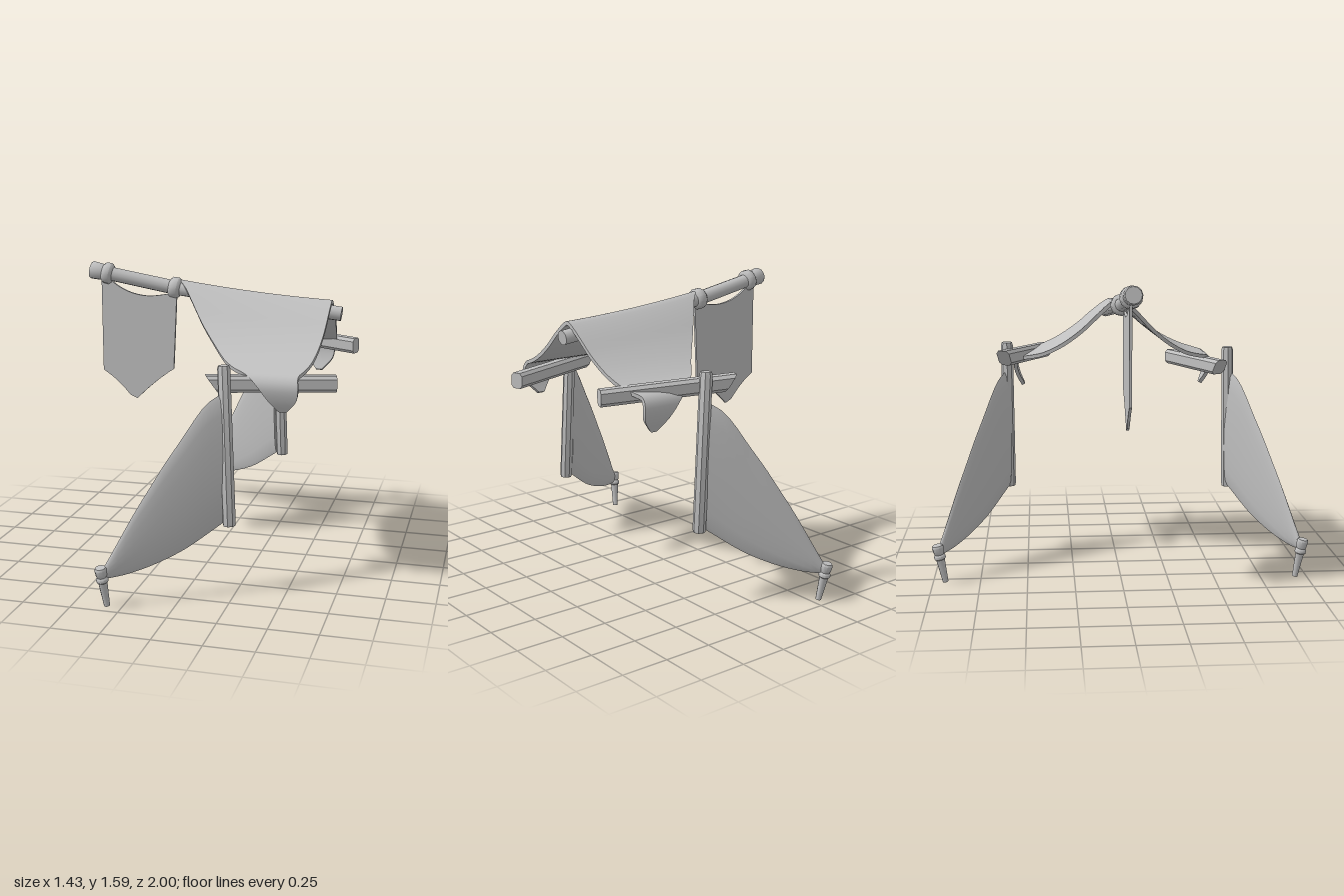
import * as THREE from 'three';
import { toCreasedNormals } from 'three/addons/utils/BufferGeometryUtils.js';

const V = (x, y, z) => new THREE.Vector3(x, y, z);
const lerp = THREE.MathUtils.lerp;

// Skin a list of closed rings of points, capping both ends
function loft(rings, crease = 0.9) {
  const n = rings[0].length, pos = [], idx = [];
  rings.forEach(r => r.forEach(p => pos.push(p.x, p.y, p.z)));
  for (let i = 0; i < rings.length - 1; i++) {
    for (let j = 0; j < n; j++) {
      const a = i * n + j, b = i * n + (j + 1) % n;
      idx.push(a, b, a + n, b, b + n, a + n);
    }
  }
  [0, rings.length - 1].forEach((row, end) => {
    const c = V(0, 0, 0);
    rings[row].forEach(p => c.addScaledVector(p, 1 / n));
    const k = pos.length / 3;
    pos.push(c.x, c.y, c.z);
    for (let j = 0; j < n; j++) {
      const a = row * n + j, b = row * n + (j + 1) % n;
      if (end) idx.push(a, b, k); else idx.push(b, a, k);
    }
  });
  // Turn the faces outward if the enclosed volume comes out negative
  const at = i => V(pos[3 * i], pos[3 * i + 1], pos[3 * i + 2]);
  let volume = 0;
  for (let i = 0; i < idx.length; i += 3) volume += at(idx[i]).dot(at(idx[i + 1]).cross(at(idx[i + 2])));
  if (volume < 0) idx.reverse();
  const g = new THREE.BufferGeometry();
  g.setAttribute('position', new THREE.Float32BufferAttribute(pos, 3));
  g.setIndex(idx);
  return toCreasedNormals(g, crease);
}

// Turned rod from a to b; profile is [radius, distance along 0..1]
function rod(a, b, profile, sides = 12, crease = 0.9) {
  const length = a.distanceTo(b);
  const pts = [[0, profile[0][1]], ...profile, [0, profile[profile.length - 1][1]]];
  const g = new THREE.LatheGeometry(pts.map(([r, t]) => new THREE.Vector2(r, t * length)), sides);
  g.applyQuaternion(new THREE.Quaternion().setFromUnitVectors(V(0, 1, 0), b.clone().sub(a).normalize()));
  g.translate(a.x, a.y, a.z);
  return toCreasedNormals(g, crease);
}

// Sheet of cloth draped over the ridge and hanging over both side logs
function canopyGeometry() {
  // hem section from the ridge outward: z, y, left x, right x
  const half = [
    [0.05, 1.41, -0.17, 0.612], [0.12, 1.355, -0.11, 0.61], [0.2, 1.285, -0.04, 0.605],
    [0.3, 1.215, 0.05, 0.595], [0.4, 1.165, 0.13, 0.58], [0.48, 1.14, 0.2, 0.56],
    [0.54, 1.12, 0.28, 0.54], [0.568, 1.07, 0.34, 0.545], [0.555, 1.0, 0.39, 0.535], [0.525, 0.935, 0.445, 0.48],
  ];
  const rows = [...half.map(([z, ...r]) => [-z, ...r]).reverse(), [0, 1.435, -0.215, 0.613], ...half];
  const edge = k => new THREE.CatmullRomCurve3(rows.map(r => V(r[k], r[1], r[0])), false, 'catmullrom');
  const left = edge(2), right = edge(3);
  const rings = [], steps = 60, across = 14, thick = 0.02;
  for (let i = 0; i <= steps; i++) {
    const t = i / steps, a = left.getPoint(t), b = right.getPoint(t);
    const tan = right.getPoint(Math.min(1, t + 0.01)).sub(right.getPoint(Math.max(0, t - 0.01)));
    const len = Math.hypot(tan.y, tan.z), ny = tan.z / len, nz = -tan.y / len;
    const outer = [], inner = [];
    for (let j = 0; j <= across; j++) {
      const p = a.clone().lerp(b, j / across);
      const ridge = 1.475 - 0.12 * p.x + 0.06 * p.x * p.x;
      p.y += (ridge - 1.435) * Math.max(0, 1 - Math.abs(p.z) / 0.4);
      outer.push(p);
      inner.unshift(V(p.x, p.y - ny * thick, p.z - nz * thick));
    }
    rings.push([...outer, ...inner]);
  }
  return loft(rings, 1);
}

// Padded triangular side cloth stretched from a post to a stake
function wingGeometry(post, stake, lift) {
  const top = new THREE.CatmullRomCurve3([V(0, 1.05, 0), V(0.14, 1.0, 0), V(0.36, 0.82, 0), V(0.6, 0.6, 0), V(1, 0.19, 0)]);
  const low = new THREE.CatmullRomCurve3([V(0, 0.385, 0), V(0.36, 0.25, 0), V(0.76, 0.165, 0), V(1, 0.145, 0)]);
  const heightAt = (curve, s) => {
    const pts = curve.points;
    let k = 0;
    while (k < pts.length - 2 && pts[k + 1].x < s) k++;
    return curve.getPoint((k + (s - pts[k].x) / (pts[k + 1].x - pts[k].x)) / (pts.length - 1)).y;
  };
  const side = V(stake.z - post.z, 0, post.x - stake.x).normalize();
  const rings = [];
  for (let i = 0; i <= 16; i++) {
    const s = i / 16, y1 = heightAt(top, s) + lift * (1 - s), y0 = heightAt(low, s) + lift * (1 - s);
    const ring = [];
    for (let j = 0; j < 16; j++) {
      const a = j / 16 * Math.PI * 2, c = Math.cos(a);
      const p = V(lerp(post.x, stake.x, s), (y0 + y1) / 2 + c * (y1 - y0) / 2, lerp(post.z, stake.z, s));
      ring.push(p.addScaledVector(side, Math.sin(a) * lerp(0.024, 0.012, s)));
    }
    rings.push(ring);
  }
  return loft(rings, 1);
}

// Hanging pennant with a sagging top and a pointed foot
function bannerGeometry() {
  const s = new THREE.Shape();
  s.moveTo(-0.655, 1.5);
  s.lineTo(-0.655, 0.99);
  s.quadraticCurveTo(-0.57, 0.94, -0.5, 0.855);
  s.lineTo(-0.46, 0.838);
  s.quadraticCurveTo(-0.36, 0.94, -0.248, 1.015);
  s.lineTo(-0.226, 1.46);
  s.lineTo(-0.255, 1.43);
  s.splineThru([[-0.38, 1.412], [-0.48, 1.425], [-0.56, 1.46], [-0.61, 1.5]].map(p => new THREE.Vector2(...p)));
  const g = new THREE.ExtrudeGeometry(s, { depth: 0.014, bevelEnabled: false, curveSegments: 8 });
  return g.translate(0, 0, 0.014);
}

export function createModel() {
  const group = new THREE.Group();
  const grey = new THREE.MeshStandardMaterial({ color: 0xbfbfbf });
  grey.name = 'plain grey';
  const add = (name, geometry) => {
    const m = new THREE.Mesh(geometry, grey);
    m.name = name;
    group.add(m);
    return m;
  };

  // Ridge pole with thick tip and binding rings
  const tip = V(-0.712, 1.545, 0.03), bend = V(-0.24, 1.458, 0.005), end = V(0.66, 1.348, -0.025);
  add('ridgePoleFront', rod(tip, bend, [[0.042, 0], [0.048, 0.02], [0.044, 0.14], [0.037, 0.2], [0.038, 1]]));
  add('ridgePoleBack', rod(bend, end, [[0.038, 0], [0.038, 1]]));
  const bind = [[0.044, 0], [0.056, 0.2], [0.058, 0.75], [0.044, 1]];
  add('tipBinding', rod(V(-0.645, 1.533, 0.028), V(-0.59, 1.522, 0.024), bind));
  add('ridgeBinding', rod(V(-0.272, 1.464, 0.007), V(-0.212, 1.454, 0.004), bind));

  add('canopy', canopyGeometry());
  add('banner', bannerGeometry());

  // The two flanks differ slightly in placement
  const flanks = [
    { name: 'front', log: [V(0.115, 1.075, 0.58), V(0.7, 1.063, 0.37)], post: [V(0.225, 0.37, 0.652), V(0.19, 1.18, 0.632)],
      stake: [V(-0.327, 0, 0.937), V(-0.345, 0.21, 0.972)], lift: 0 },
    { name: 'back', log: [V(0.06, 1.145, -0.615), V(0.69, 1.113, -0.39)], post: [V(0.235, 0.39, -0.6), V(0.2, 1.215, -0.602)],
      stake: [V(-0.294, 0, -0.935), V(-0.312, 0.205, -0.972)], lift: 0.012 },
  ];
  for (const { name, log, post, stake, lift } of flanks) {
    // Squared, chamfered side log, cut at a slant on its near end
    const dir = log[1].clone().sub(log[0]).normalize();
    const across = V(-dir.z, 0, dir.x).normalize(), section = [[1, 0.6], [0.6, 1], [-0.6, 1], [-1, 0.6], [-1, -0.6], [-0.6, -1], [0.6, -1], [1, -0.6]];
    add(name + 'SideLog', loft(log.map((c, i) => section.map(([u, v]) =>
      c.clone().addScaledVector(across, u * 0.036).addScaledVector(dir, i ? 0 : -v * 0.03).add(V(0, v * 0.042, 0)))), 0.4));

    // Faceted post and its side cloth
    add(name + 'Post', rod(post[0], post[1], [[0.031, 0], [0.034, 0.02], [0.033, 0.98], [0.028, 1]], 8, 0.3));
    const knot = stake[0].clone().lerp(stake[1], 0.75);
    add(name + 'SideCloth', wingGeometry(V(0.2, 0, (post[0].z + post[1].z) / 2), knot, lift));

    // Tapered ground stake with a head and a cord ring
    add(name + 'Stake', rod(stake[0], stake[1], [[0.015, 0], [0.023, 0.62], [0.031, 0.65], [0.031, 0.72],
      [0.024, 0.76], [0.028, 0.8], [0.031, 0.95], [0.026, 1]], 10, 0.7));
  }
  return group;
}
